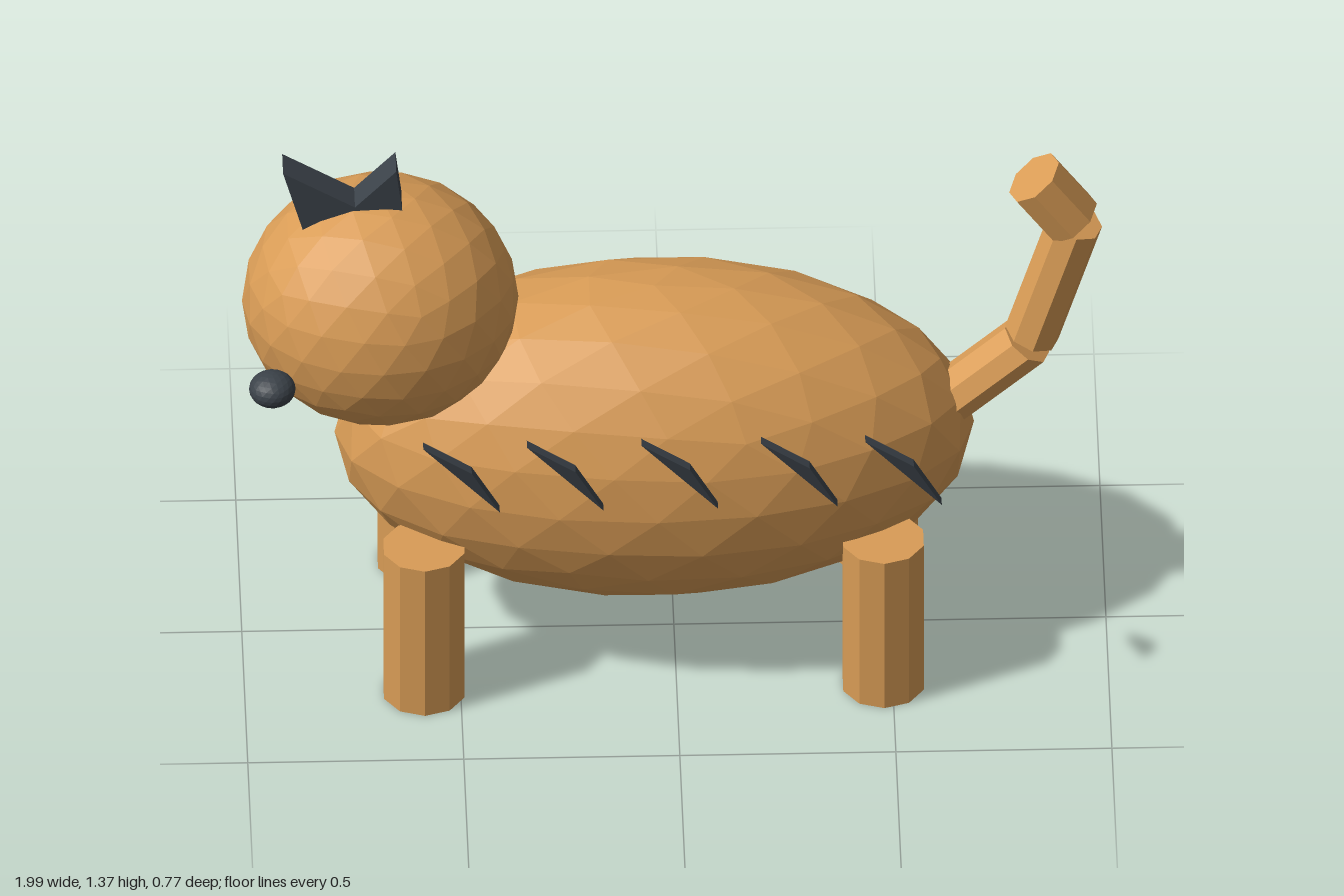
import * as THREE from 'three';

export function createModel() {
  const root = new THREE.Group();
  root.name = 'cat';
  const fur = new THREE.MeshStandardMaterial({ color: 0xd99c56, flatShading: true });
  fur.name = 'ginger fur';
  const dark = new THREE.MeshStandardMaterial({ color: 0x3b4249, flatShading: true });
  dark.name = 'charcoal';

  const add = (name, geometry, material) => {
    const mesh = new THREE.Mesh(geometry, material);
    mesh.name = name;
    root.add(mesh);
    return mesh;
  };

  // Faceted ball with a corner pointing straight up
  const ball = (name, material, centre, radii) => {
    const g = new THREE.IcosahedronGeometry(1, 3);
    g.rotateZ(-Math.atan(2 / (1 + Math.sqrt(5))));
    g.scale(...radii).translate(...centre);
    add(name, g, material);
  };
  ball('body', fur, [-0.045, 0.565, -0.017], [0.74, 0.41, 0.37]);
  ball('head', fur, [-0.68, 0.973, 0.012], [0.32, 0.298, 0.294]);
  ball('nose', dark, [-0.937, 0.918, 0.277], [0.054, 0.04, 0.054]);

  // Four legs
  for (const [end, x] of [['front', -0.585], ['back', 0.478]]) {
    for (const [side, z] of [['Left', 0.235], ['Right', -0.262]]) {
      const g = new THREE.CylinderGeometry(0.098, 0.098, 0.42, 10);
      add(end + side + 'Leg', g.translate(x, 0.21, z), fur);
    }
  }

  // Tail segments: start, end and half-width vector, slightly skewed
  const tail = [
    [[0.56, 0.57], [0.818, 0.8], [0.051, -0.035]],
    [[0.829, 0.823], [0.93, 1.147], [0.0615, -0.02]],
    [[0.922, 1.152], [0.834, 1.273], [0.0575, 0.042]],
  ];
  tail.forEach(([a, b, w], i) => {
    const m = new THREE.Matrix4().makeBasis(
      new THREE.Vector3(w[0], w[1], 0),
      new THREE.Vector3(b[0] - a[0], b[1] - a[1], 0),
      new THREE.Vector3(0, 0, 0.075)
    );
    m.setPosition((a[0] + b[0]) / 2, (a[1] + b[1]) / 2, -0.014);
    add('tailSegment' + (i + 1), new THREE.CylinderGeometry(1, 1, 1, 8).applyMatrix4(m), fur);
  });

  // Triangular prism
  const prism = (points, depth) => new THREE.ExtrudeGeometry(
    new THREE.Shape(points.map(([x, y]) => new THREE.Vector2(x, y))),
    { depth, bevelEnabled: false }
  );

  // Ears
  add('frontEar', prism([[-0.906, 1.374], [-0.855, 1.19], [-0.72, 1.26]], 0.075).translate(0, 0, -0.02), dark);
  add('backEar', prism([[-0.644, 1.374], [-0.76, 1.25], [-0.625, 1.22]], 0.075).translate(0, 0, -0.02), dark);

  // Flank stripes, with the middle corner standing out a little
  [-0.59, -0.35, -0.085, 0.192, 0.433].forEach((x, i) => {
    const g = prism([[0, 0], [0.177, -0.187], [0.112, -0.064]], 0.027);
    const p = g.attributes.position;
    for (let k = 0; k < p.count; k++) {
      if (Math.abs(p.getX(k) - 0.112) < 0.01) p.setZ(k, p.getZ(k) + 0.013);
    }
    add('stripe' + (i + 1), g.translate(x, 0.804, 0.342), dark);
  });

  return root;
}
